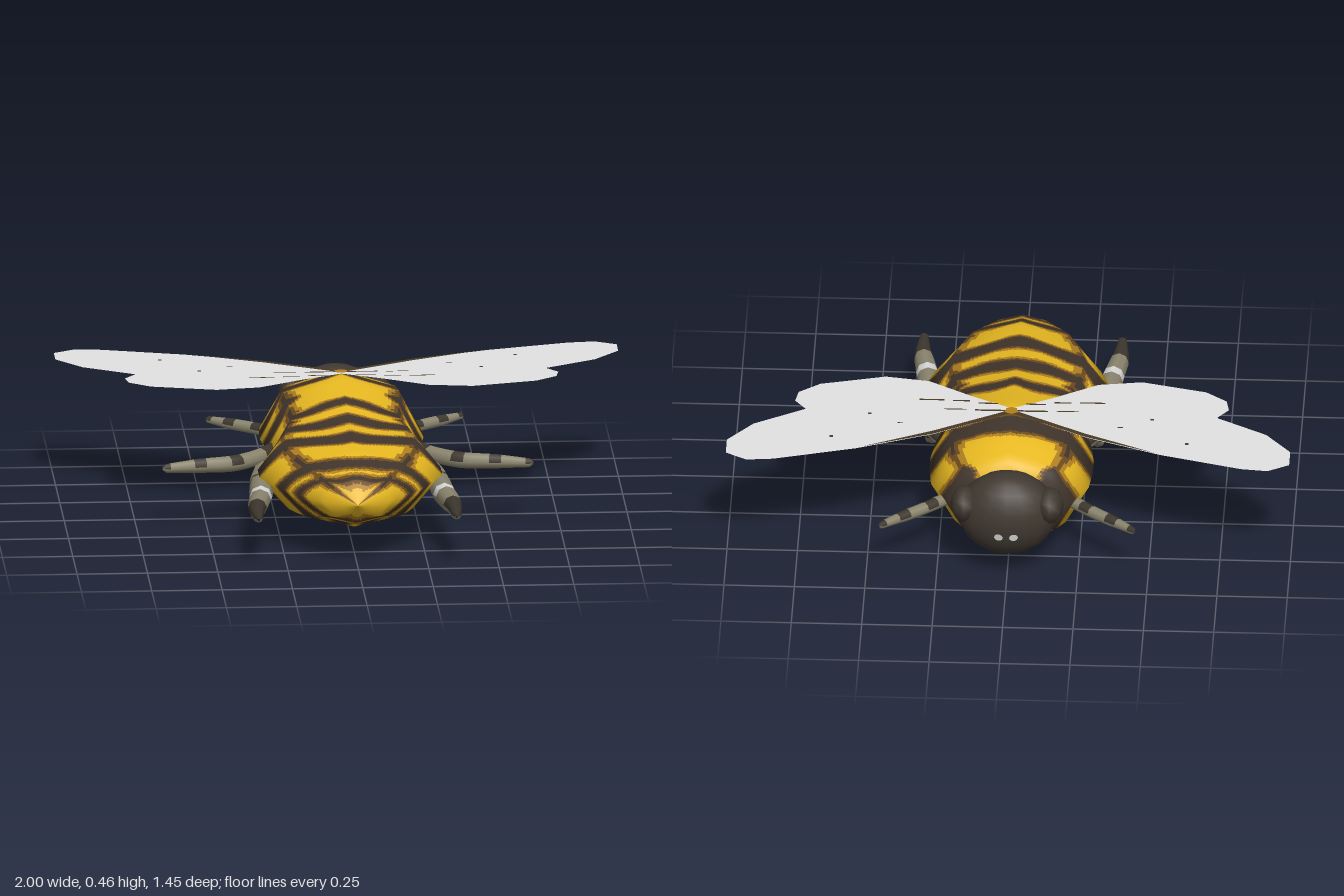
import * as THREE from 'three';

const mat = (name, color, side = THREE.FrontSide) => {
  const m = new THREE.MeshStandardMaterial({ color, side });
  m.name = name;
  return m;
};

// Body cross-sections: z, half width, half height
const PROFILE = [
  [-0.56, 0.05, 0.05], [-0.53, 0.185, 0.14], [-0.5, 0.225, 0.17], [-0.4, 0.28, 0.205],
  [-0.3, 0.29, 0.222], [-0.22, 0.29, 0.228], [-0.1, 0.275, 0.21], [0, 0.26, 0.197],
  [0.1, 0.3, 0.18], [0.2, 0.325, 0.168], [0.3, 0.325, 0.16], [0.4, 0.29, 0.147],
  [0.5, 0.24, 0.135], [0.66, 0.115, 0.075], [0.72, 0.001, 0.001],
];
const BODY_Y = 0.228;
const WING_Y = 0.458;

function sizeAt(z) {
  let i = 0;
  while (i < PROFILE.length - 2 && z > PROFILE[i + 1][0]) i++;
  const [a, b] = [PROFILE[i], PROFILE[i + 1]];
  const t = THREE.MathUtils.clamp((z - a[0]) / (b[0] - a[0]), 0, 1);
  return [a[1] + (b[1] - a[1]) * t, a[2] + (b[2] - a[2]) * t];
}

// Index the geometry with one material group per list of faces
function setFaces(g, lists) {
  g.clearGroups();
  g.setIndex(lists.flat());
  let start = 0;
  lists.forEach((f, m) => { g.addGroup(start, f.length, m); start += f.length; });
  return g;
}

// Stripe rule: 0 gold, 1 amber, 2 brown, 3 dark
function stripe(x, z, ux, uy) {
  const side = Math.abs(ux);
  const wobble = 0.01 * Math.sin(7 * side + 11 * z);
  let bands, v;
  if (uy < -0.7 && z < 0.58) {
    // lengthwise stripes on the belly
    v = Math.abs(x) + wobble;
    bands = [[0.055, 0.022]];
    if (z > -0.05) bands.push([0.15, 0.02]);
  } else {
    // cross bands, bowed towards the tail along the back, some only on the flanks
    const flank = 0.08 * (1 - THREE.MathUtils.smoothstep(side, 0.4, 0.75));
    v = z + (z > -0.02 ? 0.1 * ux * ux * Math.min(1, (z + 0.02) * 5) : -0.03 * ux * ux) + wobble;
    bands = [[-0.325, 0.036], [0, 0.026], [0.165, 0.034], [0.335, 0.038], [0.558, 0.022], [0.652, 0.011],
      [-0.53, 0.03 - flank], [-0.17, 0.03 - flank], [0.07, 0.012 - flank]];
  }
  let d = Math.min(...bands.map(([c, w]) => Math.abs(v - c) - w));
  // ragged seam between back and flank
  if (uy > 0) d = Math.min(d, Math.abs(side - 0.74) * 0.25 - 0.004 + 0.006 * Math.sin(38 * z));
  return d < 0 ? 3 : d < 0.012 ? 2 : d < 0.025 ? 1 : 0;
}

// Eight-sided lofted body, finely divided so the stripes can be picked by face
function bodyGeometry() {
  const SIDES = 128, RINGS = 240, z0 = PROFILE[0][0], z1 = 0.72;
  const pos = [], nor = [], faces = [[], [], [], []], info = [];
  for (let i = 0; i <= RINGS; i++) {
    const z = z0 + ((z1 - z0) * i) / RINGS;
    const [rx, ry] = sizeAt(z), A = sizeAt(z - 0.03), B = sizeAt(z + 0.03);
    const dz = Math.min(z1, z + 0.03) - Math.max(z0, z - 0.03);
    for (let j = 0; j <= SIDES; j++) {
      const a = (j / SIDES) * Math.PI * 2, ux = Math.cos(a), uy = Math.sin(a);
      // point on a straight octagon side
      const k = Math.PI / 4, off = a - Math.floor(a / k + 1e-6) * k - k / 2;
      const r = Math.cos(k / 2) / Math.cos(off);
      pos.push(ux * r * rx, BODY_Y + uy * r * ry, z);
      const sx = (B[0] - A[0]) / dz, sy = (B[1] - A[1]) / dz;
      const n = new THREE.Vector3(ux / rx, uy / ry, -(ux * ux * sx / rx + uy * uy * sy / ry)).normalize();
      nor.push(n.x, n.y, n.z);
      info.push([ux * r * rx, z, ux, uy]);
    }
  }
  for (let i = 0; i < RINGS; i++) {
    for (let j = 0; j < SIDES; j++) {
      const a = i * (SIDES + 1) + j, b = a + 1, c = a + SIDES + 1, d = c + 1;
      faces[stripe(...info[a].map((v, k) => (v + info[d][k]) / 2))].push(a, b, c, b, d, c);
    }
  }
  const g = new THREE.BufferGeometry();
  g.setAttribute('position', new THREE.Float32BufferAttribute(pos, 3));
  g.setAttribute('normal', new THREE.Float32BufferAttribute(nor, 3));
  return setFaces(g, faces);
}

// Tapered limb along a curve; bands are [from, to, material], painted on the upper faces
function limbGeometry(points, radii, bands) {
  const N = 36, R = 8;
  const curve = new THREE.CatmullRomCurve3(points.map((p) => new THREE.Vector3(...p)));
  const g = new THREE.TubeGeometry(curve, N, 1, R);
  const p = g.attributes.position, v = new THREE.Vector3();
  for (let i = 0; i <= N; i++) {
    const c = curve.getPointAt(i / N);
    const f = (i / N) * (radii.length - 1), k = Math.min(Math.floor(f), radii.length - 2);
    const r = i === 0 || i === N ? 0.004 : radii[k] + (radii[k + 1] - radii[k]) * (f - k);
    for (let j = 0; j <= R; j++) {
      const n = i * (R + 1) + j;
      v.fromBufferAttribute(p, n).sub(c).multiplyScalar(r).add(c);
      p.setXYZ(n, v.x, v.y, v.z);
    }
  }
  const faces = [[], [], []], index = [...g.index.array], nor = g.attributes.normal;
  for (let q = 0; q < N * R; q++) {
    const quad = index.slice(q * 6, q * 6 + 6), t = (Math.floor(q / R) + 0.5) / N;
    const up = quad.reduce((s, n) => s + nor.getY(n), 0) / 6;
    const band = bands.find(([a, b]) => t > a && t < b);
    faces[band && up > -0.1 ? band[2] : 0].push(...quad);
  }
  return setFaces(g, faces);
}

// Flat horizontal plate from x,z corners
function plate(corners, side, y) {
  const s = new THREE.Shape(corners.map(([x, z]) => new THREE.Vector2(x * side, -z)));
  return new THREE.ShapeGeometry(s).rotateX(-Math.PI / 2).translate(0, y, 0);
}

// Thin straight strip along x, as plate corners
const strip = (x0, x1, z, w) => [[x0, z - w], [x1, z - w], [x1, z + w], [x0, z + w]];

export function createModel() {
  const bee = new THREE.Group();
  bee.name = 'bee';
  const gold = mat('gold', 0xeebe22), amber = mat('amber', 0xb08020, THREE.DoubleSide);
  const brown = mat('brown', 0x6c4a1e), dark = mat('dark stripe', 0x3f342b);
  const headMat = mat('head', 0x403830), legMat = mat('leg', 0x8c866f), legDark = mat('leg band', 0x3e382f);
  const wingMat = mat('wing', 0xe2e2e2, THREE.DoubleSide), veinMat = mat('wing vein', 0x4a3a26, THREE.DoubleSide);
  const light = mat('light spot', 0xdcdcdc, THREE.DoubleSide);
  const add = (name, geo, m) => {
    const mesh = new THREE.Mesh(geo, m);
    mesh.name = name;
    bee.add(mesh);
    return mesh;
  };

  add('body', bodyGeometry(), [gold, amber, brown, dark]);
  add('head', new THREE.SphereGeometry(1, 16, 12).scale(0.175, 0.158, 0.12), headMat).position.set(0, 0.243, -0.605);

  const wing = [[0, -0.28], [0.27, -0.44], [0.54, -0.55], [0.83, -0.635], [0.925, -0.645], [1, -0.6],
    [1, -0.51], [0.91, -0.395], [0.73, -0.285], [0.77, -0.23], [0.76, -0.17], [0.685, -0.11],
    [0.455, -0.05], [0.3, -0.075], [0.14, -0.175], [0, -0.25]];
  // dark leading edge, then broken veins and specks
  const veins = [
    [[0, -0.285], [0.27, -0.44], [0.52, -0.54], [0.27, -0.418], [0, -0.262]],
    strip(0, 0.13, -0.27, 0.005), strip(0.16, 0.24, -0.267, 0.003),
    strip(0.05, 0.12, -0.222, 0.004), strip(0.15, 0.21, -0.208, 0.004), strip(0.24, 0.33, -0.205, 0.004),
    strip(0.38, 0.4, -0.37, 0.003), strip(0.495, 0.507, -0.31, 0.006), strip(0.625, 0.637, -0.473, 0.006),
  ];
  const root = [[0, -0.295], [0.025, -0.283], [0.018, -0.255], [0, -0.247]];
  const legs = [
    ['frontLeg', [[0.2, 0.195, -0.42], [0.3, 0.195, -0.515], [0.38, 0.195, -0.58], [0.455, 0.195, -0.645]],
      [0.024, 0.022, 0.021, 0.012], [[0.25, 0.4, 1], [0.62, 0.75, 1], [0.92, 1, 1]]],
    ['middleLeg', [[0.24, 0.225, -0.1], [0.32, 0.225, 0.02], [0.41, 0.225, 0.095], [0.53, 0.225, 0.12], [0.66, 0.222, 0.14]],
      [0.03, 0.03, 0.03, 0.026, 0.015], [[0, 0.22, 1], [0.44, 0.52, 1], [0.7, 0.78, 1], [0.94, 1, 1]]],
    ['hindLeg', [[0.29, 0.185, -0.02], [0.31, 0.185, 0.15], [0.325, 0.185, 0.4], [0.35, 0.182, 0.58], [0.352, 0.18, 0.715]],
      [0.028, 0.038, 0.043, 0.036, 0.014], [[0, 0.06, 1], [0.32, 0.36, 1], [0.59, 0.64, 2], [0.78, 1, 1]]],
  ];

  for (const side of [1, -1]) {
    const tag = side > 0 ? 'left ' : 'right ';
    // wings, veins and the amber patch at the root
    add(tag + 'wing', plate(wing, side, WING_Y), wingMat);
    veins.forEach((v) => add(tag + 'wing vein', plate(v, side, WING_Y + 0.002), veinMat));
    add(tag + 'wing root', plate(root, side, WING_Y + 0.004), amber);
    // legs
    for (const [name, pts, radii, bands] of legs) {
      add(tag + name, limbGeometry(pts.map(([x, y, z]) => [x * side, y, z]), radii, bands), [legMat, legDark, light]);
    }
    // eyes
    add(tag + 'eye', new THREE.SphereGeometry(1, 8, 6).scale(0.05, 0.064, 0.068), headMat)
      .position.set(0.152 * side, 0.288, -0.63);
    // small light spots on the face
    const n = new THREE.Vector3(0.15 * side, -0.23, -0.95).normalize();
    const spot = add(tag + 'face spot', new THREE.CircleGeometry(0.016, 10), light);
    spot.position.set(n.x * 0.177, 0.243 + n.y * 0.16, -0.605 + n.z * 0.123);
    spot.quaternion.setFromUnitVectors(new THREE.Vector3(0, 0, 1), n);
  }
  return bee;
}
